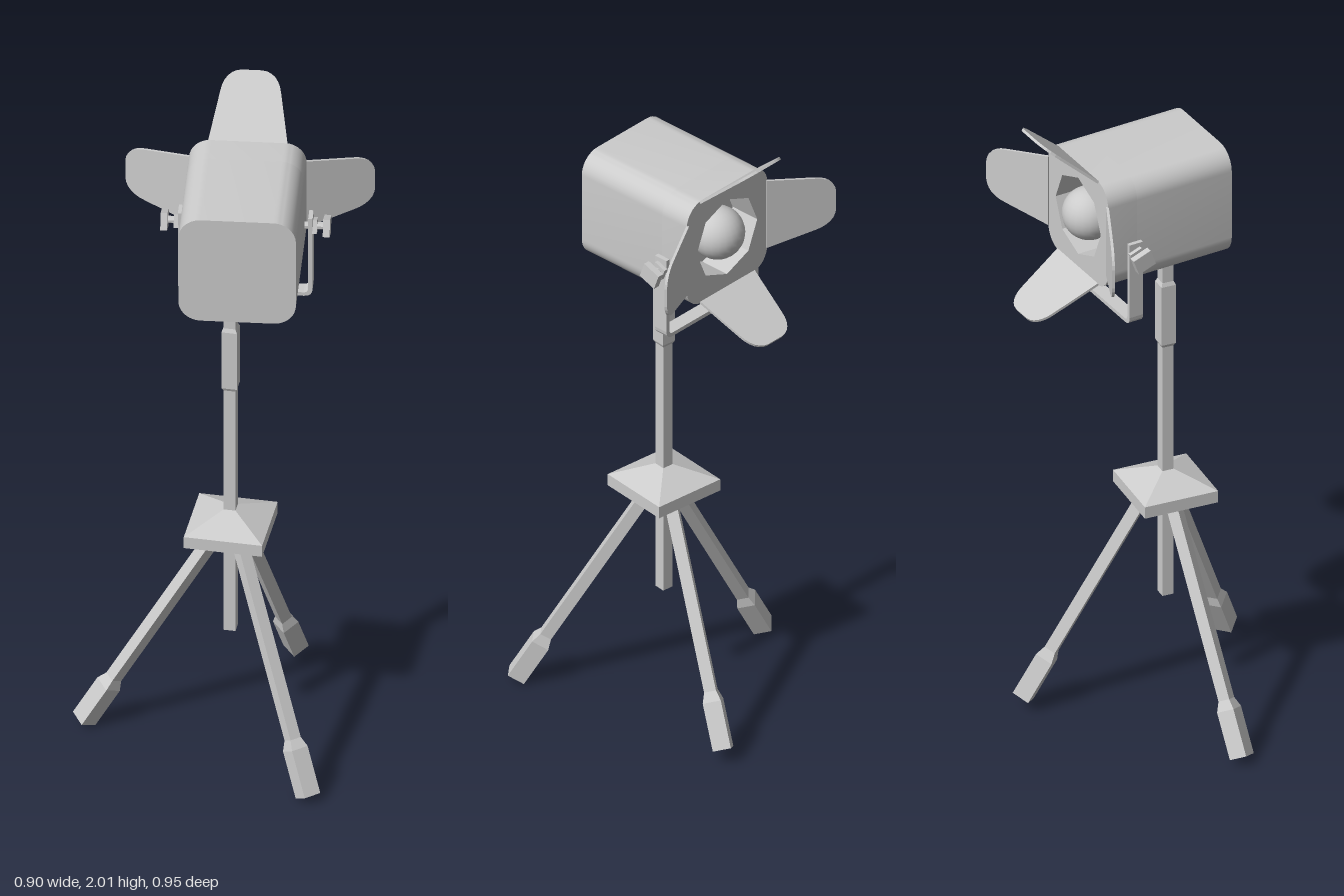
import * as THREE from 'three';
import { toCreasedNormals } from 'three/addons/utils/BufferGeometryUtils.js';

const flat = new THREE.MeshStandardMaterial({ color: 0xcccccc, flatShading: true });
const smooth = new THREE.MeshStandardMaterial({ color: 0xcccccc });

function add(parent, name, geometry, material = flat) {
  const mesh = new THREE.Mesh(geometry, material);
  mesh.name = name;
  parent.add(mesh);
  return mesh;
}

// Four-sided turned part from [radius, height] pairs, bottom to top
function squareTurned(pairs) {
  return new THREE.LatheGeometry(pairs.map(([r, y]) => new THREE.Vector2(r, y)), 4);
}

function extrude(shape, depth, z = 0, curveSegments = 6) {
  const g = new THREE.ExtrudeGeometry(shape, { depth, bevelEnabled: false, curveSegments });
  return g.translate(0, 0, z);
}

function roundedRect(w, h, r) {
  const s = new THREE.Shape();
  s.absarc(w - r, h - r, r, 0, Math.PI / 2);
  s.absarc(-w + r, h - r, r, Math.PI / 2, Math.PI);
  s.absarc(-w + r, -h + r, r, Math.PI, Math.PI * 1.5);
  s.absarc(w - r, -h + r, r, Math.PI * 1.5, Math.PI * 2);
  s.closePath();
  return s;
}

function createStand() {
  const stand = new THREE.Group();
  stand.name = 'stand';
  const column = new THREE.Group();
  column.name = 'column';
  column.position.set(-0.09, 0, 0.012);
  stand.add(column);
  add(column, 'pole', squareTurned([[0, 0.36], [0.025, 0.36], [0.025, 1.53], [0, 1.53]]));
  add(column, 'sleeve', squareTurned([[0, 1.195], [0.025, 1.195], [0.032, 1.205], [0.032, 1.4], [0.025, 1.412], [0, 1.412]]));
  add(column, 'hub', squareTurned([[0, 0.65], [0.04, 0.655], [0.163, 0.697], [0.163, 0.735], [0.025, 0.78], [0, 0.78]]));

  // Splayed legs, each ending in a thicker foot
  const up = new THREE.Vector3(0, 1, 0);
  const legs = [
    [[-0.427, 0.023, -0.245], [-0.125, 0.68, -0.015]],
    [[-0.108, 0.02, 0.44], [-0.09, 0.68, 0.06]],
    [[0.272, 0.045, -0.19], [-0.03, 0.68, -0.015]],
  ];
  for (const [from, to] of legs) {
    const a = new THREE.Vector3(...from);
    const dir = new THREE.Vector3(...to).sub(a);
    const length = dir.length();
    const leg = new THREE.Group();
    leg.name = 'leg';
    leg.position.copy(a);
    leg.quaternion.setFromUnitVectors(up, dir.normalize());
    stand.add(leg);
    add(leg, 'legRod', squareTurned([[0, 0.1], [0.025, 0.1], [0.025, length], [0, length]]).rotateY(Math.PI / 4));
    add(leg, 'foot', squareTurned([[0, 0], [0.038, 0], [0.038, 0.142], [0.025, 0.172], [0, 0.172]]).rotateY(Math.PI / 4));
  }
  return stand;
}

// Lamp head: local +z is the direction of the beam
function createHead() {
  const head = new THREE.Group();
  head.name = 'lampHead';
  head.position.set(-0.025, 1.694, -0.024);
  head.rotation.y = 2.477;

  // Housing: solid rear part and a front rim with an octagonal opening
  const W = 0.17, H = 0.175, FRONT = 0.207;
  add(head, 'housing', toCreasedNormals(extrude(roundedRect(W, H, 0.065), 0.317, -FRONT), 0.6), smooth);
  const rim = roundedRect(W, H, 0.065);
  const hole = new THREE.Path();
  for (let i = 0; i < 8; i++) {
    const t = -i * Math.PI / 4;
    hole[i ? 'lineTo' : 'moveTo'](0.128 * Math.sin(t), 0.128 * Math.cos(t));
  }
  hole.closePath();
  rim.holes.push(hole);
  add(head, 'frontRim', toCreasedNormals(extrude(rim, FRONT - 0.11, 0.11), 0.6), smooth);
  add(head, 'bulb', new THREE.SphereGeometry(0.08, 24, 16), smooth).position.z = 0.17;

  // Four barn doors hinged on the rim: [turn about the beam, hinge distance, tilt]
  const flap = new THREE.Shape();
  flap.moveTo(-0.115, 0);
  flap.lineTo(0.115, 0);
  flap.lineTo(0.088, 0.15);
  flap.bezierCurveTo(0.082, 0.19, 0.06, 0.213, 0.03, 0.215);
  flap.lineTo(-0.03, 0.215);
  flap.bezierCurveTo(-0.06, 0.213, -0.082, 0.19, -0.088, 0.15);
  flap.closePath();
  const doors = [
    ['topDoor', 0, H, 0.84],
    ['sideDoor', Math.PI / 2, W, 0.45],
    ['bottomDoor', Math.PI, H, 1.07],
    ['sideDoor', -Math.PI / 2, W, 0.45],
  ];
  for (const [name, turn, distance, tilt] of doors) {
    const pivot = new THREE.Group();
    pivot.rotation.z = turn;
    head.add(pivot);
    const door = add(pivot, name, extrude(flap, 0.008, -0.004));
    door.position.set(0, distance - 0.004, FRONT);
    door.rotation.x = tilt;
  }

  // U-shaped yoke with rounded lower corners
  const o = 0.195, i = 0.182, bottom = -0.286, top = -0.017, c = 0.025;
  const u = new THREE.Shape();
  u.moveTo(-o, top);
  u.lineTo(-o, bottom + c);
  u.quadraticCurveTo(-o, bottom, -o + c, bottom);
  u.lineTo(o - c, bottom);
  u.quadraticCurveTo(o, bottom, o, bottom + c);
  u.lineTo(o, top);
  u.lineTo(i, top);
  u.lineTo(i, bottom + c);
  u.quadraticCurveTo(i, bottom + 0.012, i - 0.013, bottom + 0.012);
  u.lineTo(-i + 0.013, bottom + 0.012);
  u.quadraticCurveTo(-i, bottom + 0.012, -i, bottom + c);
  u.lineTo(-i, top);
  u.closePath();
  add(head, 'yoke', extrude(u, 0.045, 0.105, 4));

  // Clamping knobs on both sides
  for (const side of [-1, 1]) {
    const knob = new THREE.Group();
    knob.name = 'knob';
    knob.position.set(0, -0.055, 0.128);
    knob.rotation.x = 0.35;
    head.add(knob);
    const stem = add(knob, 'knobStem', new THREE.CylinderGeometry(0.011, 0.011, 0.07, 8));
    stem.rotation.z = Math.PI / 2;
    stem.position.x = side * 0.198;
    add(knob, 'knobWasher', new THREE.BoxGeometry(0.014, 0.04, 0.04)).position.x = side * 0.2;
    add(knob, 'knobGrip', new THREE.BoxGeometry(0.02, 0.052, 0.06)).position.x = side * 0.235;
  }
  return head;
}

export function createModel() {
  const model = new THREE.Group();
  model.name = 'studioLamp';
  model.add(createStand(), createHead());
  return model;
}
